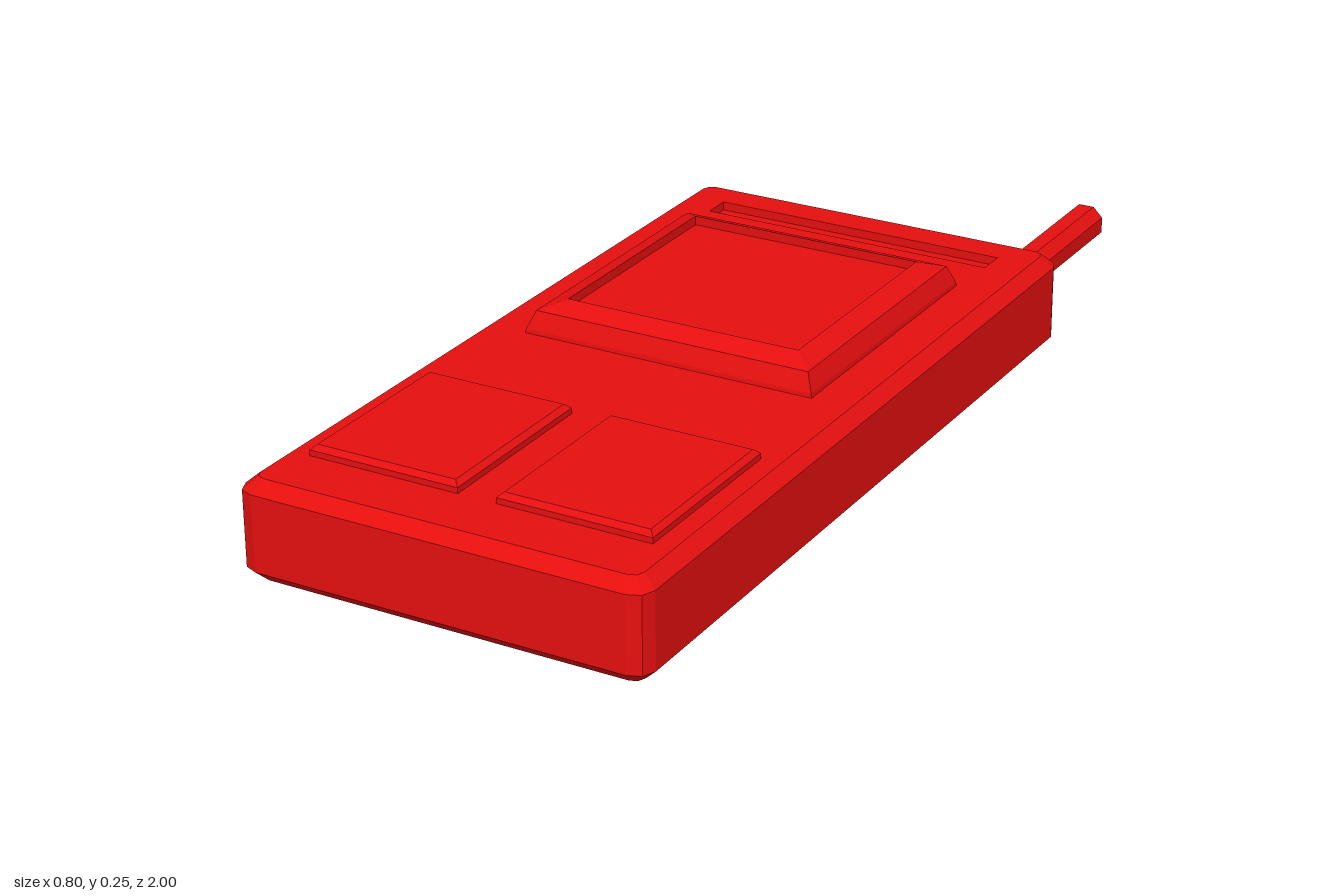
import * as THREE from 'three';

const red = new THREE.MeshStandardMaterial({ color: 0xe60f0f, flatShading: true });

// Rectangle outline at height y, corners cut with radius r in n steps
function ring([x0, x1, z0, z1, y, r = 0], n) {
  const corners = [[x1 - r, z0 + r], [x0 + r, z0 + r], [x0 + r, z1 - r], [x1 - r, z1 - r]];
  return corners.flatMap(([cx, cz], k) =>
    Array.from({ length: n + 1 }, (_, i) => {
      const a = (k + i / n) * Math.PI / 2;
      return [cx + r * Math.cos(a), y, cz - r * Math.sin(a)];
    }));
}

// Skin through a list of rectangles, closed at both ends
function loft(name, sections, n = 1) {
  const rings = sections.map((s) => ring(s, n));
  const pos = [];
  const tri = (...pts) => pts.forEach((p) => pos.push(...p));
  const count = rings[0].length;
  for (let k = 0; k < rings.length - 1; k++) {
    const lo = rings[k], hi = rings[k + 1];
    for (let i = 0; i < count; i++) {
      const j = (i + 1) % count;
      tri(lo[i], lo[j], hi[j]);
      tri(lo[i], hi[j], hi[i]);
    }
  }
  const bottom = rings[0], top = rings[rings.length - 1];
  for (let i = 1; i < count - 1; i++) {
    tri(bottom[0], bottom[i + 1], bottom[i]);
    tri(top[0], top[i], top[i + 1]);
  }
  const geometry = new THREE.BufferGeometry();
  geometry.setAttribute('position', new THREE.Float32BufferAttribute(pos, 3));
  geometry.computeVertexNormals();
  const mesh = new THREE.Mesh(geometry, red);
  mesh.name = name;
  return mesh;
}

export function createModel() {
  const model = new THREE.Group();
  model.name = 'handheldDevice';

  // Bevelled body; the top skin runs into the sunken speaker slot
  model.add(loft('body', [
    [-0.375, 0.375, -0.575, 0.975, 0, 0.02],
    [-0.4, 0.4, -0.6, 1, 0.024, 0.035],
    [-0.4, 0.4, -0.6, 1, 0.17, 0.035],
    [-0.375, 0.375, -0.575, 0.975, 0.192, 0.02],
    [-0.303, 0.305, -0.51, -0.453, 0.192],
    [-0.303, 0.305, -0.51, -0.453, 0.175],
  ], 2));

  // Raised screen frame with a sunken screen
  model.add(loft('screen', [
    [-0.301, 0.298, -0.348, 0.244, 0.18],
    [-0.298, 0.295, -0.345, 0.241, 0.2],
    [-0.284, 0.281, -0.331, 0.227, 0.234],
    [-0.241, 0.238, -0.288, 0.184, 0.25],
    [-0.241, 0.238, -0.288, 0.184, 0.232],
  ]));

  // Pair of large buttons
  for (const [name, x] of [['rightButton', -0.189], ['leftButton', 0.187]]) {
    model.add(loft(name, [
      [x - 0.15, x + 0.15, 0.502, 0.864, 0.18],
      [x - 0.15, x + 0.15, 0.502, 0.864, 0.203],
      [x - 0.14, x + 0.14, 0.512, 0.854, 0.212],
    ]));
  }

  // Antenna with cut edges, built upright and laid back along -z
  const antenna = loft('antenna', [
    [0.25, 0.322, 0.062, 0.134, 0.58, 0.02],
    [0.25, 0.322, 0.062, 0.134, 0.985, 0.02],
    [0.263, 0.309, 0.075, 0.121, 1, 0.01],
  ]);
  antenna.rotation.x = -Math.PI / 2;
  model.add(antenna);

  return model;
}
